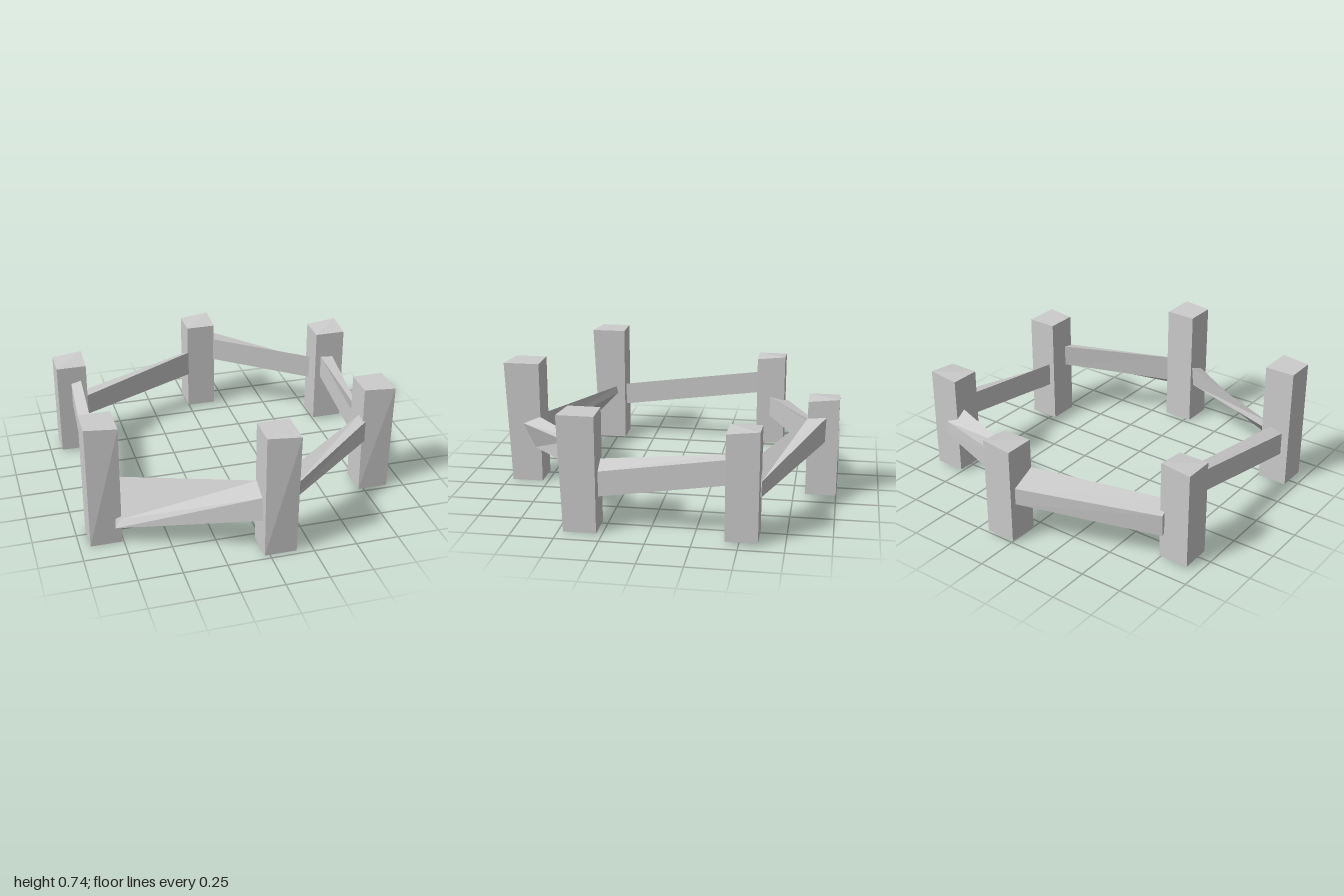
import * as THREE from 'three';

const material = new THREE.MeshStandardMaterial({ color: 0xcccccc, flatShading: true });

// Square post with one outer top corner pulled out of true by [dy, dz]
function makePost(name, [x0, x1], [y0, y1], [z0, z1], [dy, dz]) {
  const g = new THREE.BoxGeometry(x1 - x0, y1 - y0, z1 - z0).toNonIndexed();
  g.translate((x0 + x1) / 2, (y0 + y1) / 2, (z0 + z1) / 2);
  const p = g.attributes.position;
  const outerSign = Math.sign(z0 + z1);
  const middle = (z0 + z1) / 2;
  for (let i = 0; i < p.count; i++) {
    const onCorner = p.getX(i) > (x0 + x1) / 2 && p.getY(i) > (y0 + y1) / 2 &&
      (p.getZ(i) - middle) * outerSign > 0;
    if (onCorner) {
      p.setY(i, p.getY(i) + dy);
      p.setZ(i, p.getZ(i) + dz);
    }
  }
  g.computeVertexNormals();
  const mesh = new THREE.Mesh(g, material);
  mesh.name = name;
  return mesh;
}

// Twisted beam between two four-cornered sections, listed as
// outer top, outer bottom, inner bottom, inner top
function makeRail(name, start, end) {
  const a = start.map((c) => new THREE.Vector3(...c));
  const b = end.map((c) => new THREE.Vector3(...c));
  const points = [];
  const quad = (p, q, r, s) => points.push(p, q, r, p, r, s);
  for (let i = 0; i < 4; i++) {
    const j = (i + 1) % 4;
    quad(a[j], b[j], b[i], a[i]);
  }
  quad(a[3], a[2], a[1], a[0]);
  quad(b[0], b[1], b[2], b[3]);
  const g = new THREE.BufferGeometry().setFromPoints(points);
  g.computeVertexNormals();
  const mesh = new THREE.Mesh(g, material);
  mesh.name = name;
  return mesh;
}

export function createModel() {
  const group = new THREE.Group();
  group.name = 'postAndRailRing';

  // Six upright posts
  const posts = [
    ['frontPost', [-0.03, 0.155], [0, 0.74], [0.785, 0.97], [0, 0.03]],
    ['frontLeftPost', [0.72, 0.9], [0, 0.67], [0.285, 0.47], [0, 0.025]],
    ['backLeftPost', [0.75, 0.935], [0.015, 0.62], [-0.605, -0.425], [0.02, 0]],
    ['backPost', [-0.01, 0.17], [0.015, 0.585], [-1, -0.82], [0.02, 0]],
    ['backRightPost', [-0.93, -0.75], [0.015, 0.585], [-0.63, -0.45], [0.02, 0]],
    ['frontRightPost', [-0.94, -0.76], [0, 0.74], [0.445, 0.625], [0, 0.03]],
  ];
  for (const post of posts) group.add(makePost(...post));

  // Six rails, running round the ring from post to post
  const rails = [
    ['frontLeftRail',
      [[0.15, 0.365, 0.895], [0.15, 0.215, 0.825], [0.15, 0.25, 0.785], [0.15, 0.41, 0.79]],
      [[0.735, 0.465, 0.475], [0.735, 0.335, 0.475], [0.73, 0.35, 0.4], [0.73, 0.48, 0.4]]],
    ['leftRail',
      [[0.83, 0.335, 0.29], [0.83, 0.19, 0.29], [0.755, 0.24, 0.29], [0.755, 0.385, 0.29]],
      [[0.865, 0.455, -0.43], [0.865, 0.31, -0.43], [0.785, 0.32, -0.43], [0.785, 0.46, -0.43]]],
    ['backLeftRail',
      [[0.83, 0.33, -0.61], [0.83, 0.24, -0.61], [0.755, 0.26, -0.54], [0.755, 0.41, -0.54]],
      [[0.165, 0.495, -0.93], [0.165, 0.345, -0.925], [0.165, 0.34, -0.82], [0.165, 0.485, -0.82]]],
    ['backRightRail',
      [[-0.005, 0.34, -0.965], [-0.005, 0.24, -0.965], [-0.005, 0.25, -0.82], [-0.005, 0.41, -0.82]],
      [[-0.785, 0.3, -0.66], [-0.785, 0.17, -0.655], [-0.755, 0.2, -0.535], [-0.755, 0.33, -0.535]]],
    ['rightRail',
      [[-0.845, 0.475, -0.455], [-0.845, 0.34, -0.455], [-0.785, 0.35, -0.455], [-0.785, 0.49, -0.455]],
      [[-0.895, 0.34, 0.445], [-0.895, 0.2, 0.445], [-0.815, 0.22, 0.45], [-0.815, 0.36, 0.45]]],
    ['frontRightRail',
      [[-0.77, 0.16, 0.64], [-0.8, 0.12, 0.66], [-0.765, 0.31, 0.49], [-0.765, 0.355, 0.5]],
      [[-0.025, 0.34, 0.91], [-0.025, 0.205, 0.93], [-0.025, 0.25, 0.82], [-0.025, 0.385, 0.8]]],
  ];
  for (const rail of rails) group.add(makeRail(...rail));

  return group;
}
